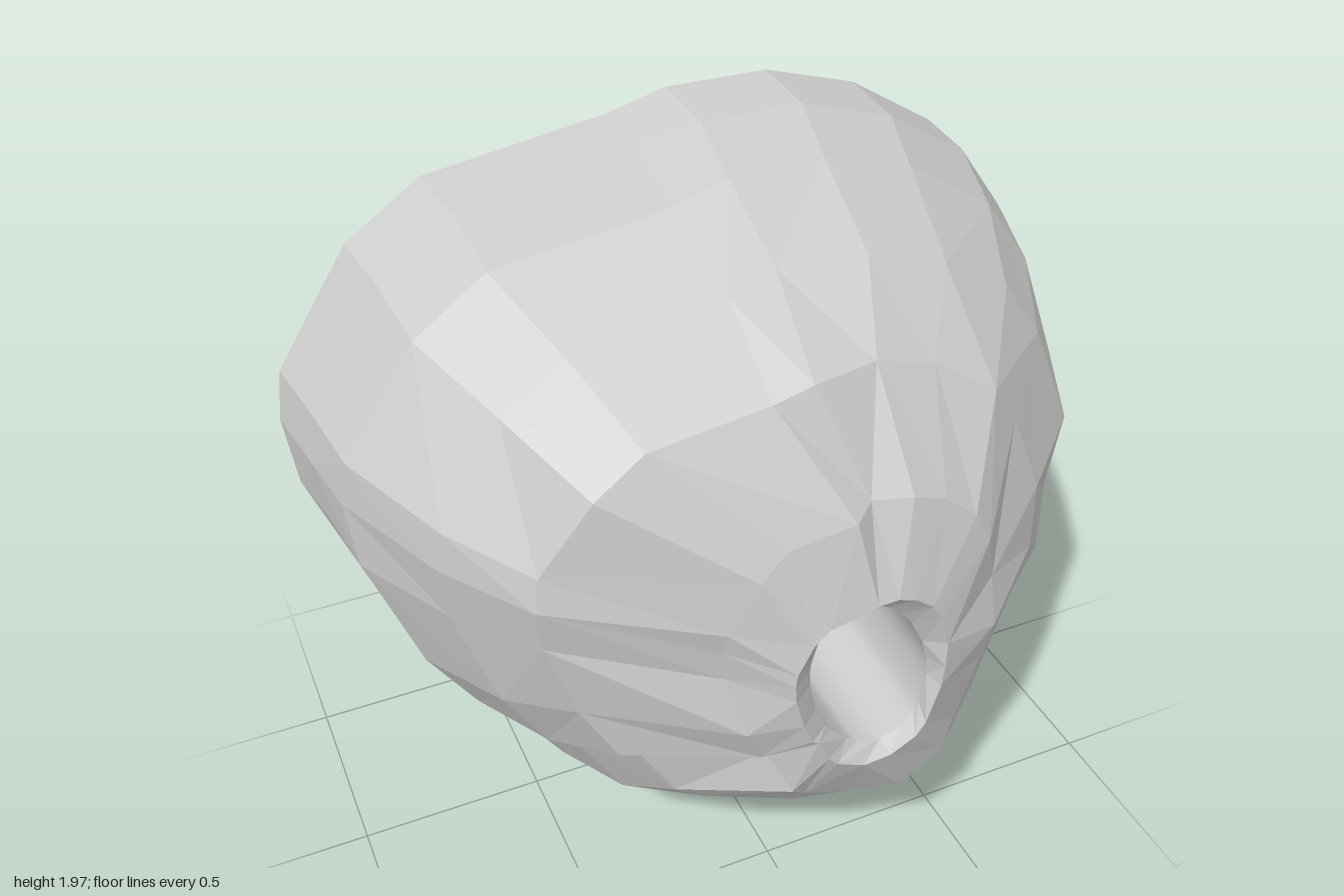
import * as THREE from 'three';

// Outline of the widest section, clockwise seen from the front.
const OUTLINE = [
  [0, 1.97], [0.26, 1.97], [0.5, 1.9], [0.73, 1.76], [0.86, 1.58], [1, 1.25], [1, 0.97], [0.98, 0.73],
  [0.82, 0.3], [0.7, 0.16], [0.37, 0.02], [0, 0], [-0.37, 0.14], [-0.5, 0.25], [-0.65, 0.5], [-0.73, 0.55],
  [-0.86, 0.78], [-0.98, 1.12], [-1, 1.31], [-0.98, 1.44], [-0.79, 1.73], [-0.6, 1.86], [-0.15, 1.93],
];

// Extents of each section, front to back: z, left x, right x, bottom y, top y.
const SECTIONS = [
  [0.845, -0.13, 0.26, 0.66, 1.16],
  [0.77, -0.27, 0.43, 0.47, 1.38],
  [0.62, -0.64, 0.62, 0.36, 1.63],
  [0.43, -0.8, 0.82, 0.18, 1.78],
  [0.2, -0.94, 0.93, 0.07, 1.9],
  [0, -0.97, 1, 0.02, 1.95],
  [-0.17, -1, 1, 0, 1.97],
  [-0.3, -0.77, 0.89, 0.01, 1.88],
  [-0.42, -0.72, 0.82, 0.15, 1.79],
  [-0.62, -0.53, 0.69, 0.36, 1.6],
  [-0.77, -0.29, 0.5, 0.55, 1.4],
  [-0.85, -0.12, 0.3, 0.78, 1.18],
];

function seeded(seed) {
  return () => (seed = (seed * 16807) % 2147483647) / 2147483647;
}

// Fit the outline into the extents of one section.
function sectionRing([z, x0, x1, y0, y1], wobble) {
  return OUTLINE.map(([x, y]) => [
    x0 + ((x + 1) / 2) * (x1 - x0),
    y0 + (y / 1.97) * (y1 - y0),
    z + wobble(),
  ]);
}

// Leaning oval with its points at the same angles as the outline.
function ovalRing(cx, cy, z, rx, ry, lean) {
  return OUTLINE.map(([x, y]) => {
    const a = Math.atan2(y - 0.985, x);
    return [cx + rx * Math.cos(a) - lean * Math.sin(a), cy + ry * Math.sin(a), z];
  });
}

// Join rings into a band, swapping the diagonals for uneven facets.
function loft(rings, rand) {
  const n = OUTLINE.length;
  const index = [];
  for (let i = 0; i < rings.length - 1; i++) {
    for (let j = 0; j < n; j++) {
      const k = (j + 1) % n;
      const a = i * n + j, b = i * n + k, c = b + n, d = a + n;
      if (rand() < 0.5) index.push(a, b, c, a, c, d);
      else index.push(a, b, d, b, c, d);
    }
  }
  const g = new THREE.BufferGeometry();
  g.setAttribute('position', new THREE.Float32BufferAttribute(rings.flat(2), 3));
  g.setIndex(index);
  g.computeVertexNormals();
  return g;
}

export function createModel() {
  const group = new THREE.Group();
  group.name = 'piercedRock';
  const rand = seeded(41);

  const frontRim = ovalRing(0.085, 0.905, 0.8, 0.15, 0.225, 0.045);
  const backRim = ovalRing(0.08, 0.98, -0.82, 0.16, 0.17, 0);

  // Faceted shell from the front rim, around the outside, to the back rim
  const rings = SECTIONS.map((s) => {
    const amount = Math.abs(s[0]) > 0.8 || s[0] === -0.17 ? 0 : 0.05;
    return sectionRing(s, () => (rand() - 0.5) * amount);
  });
  const shell = new THREE.Mesh(
    loft([frontRim, ...rings, backRim], rand),
    new THREE.MeshStandardMaterial({ color: 0xcccccc, flatShading: true }),
  );
  shell.name = 'rockShell';

  // Smooth bore running through the rock
  const bore = new THREE.Mesh(
    loft([backRim, frontRim], () => 0),
    new THREE.MeshStandardMaterial({ color: 0xcccccc }),
  );
  bore.name = 'throughHole';

  group.add(shell, bore);
  return group;
}
